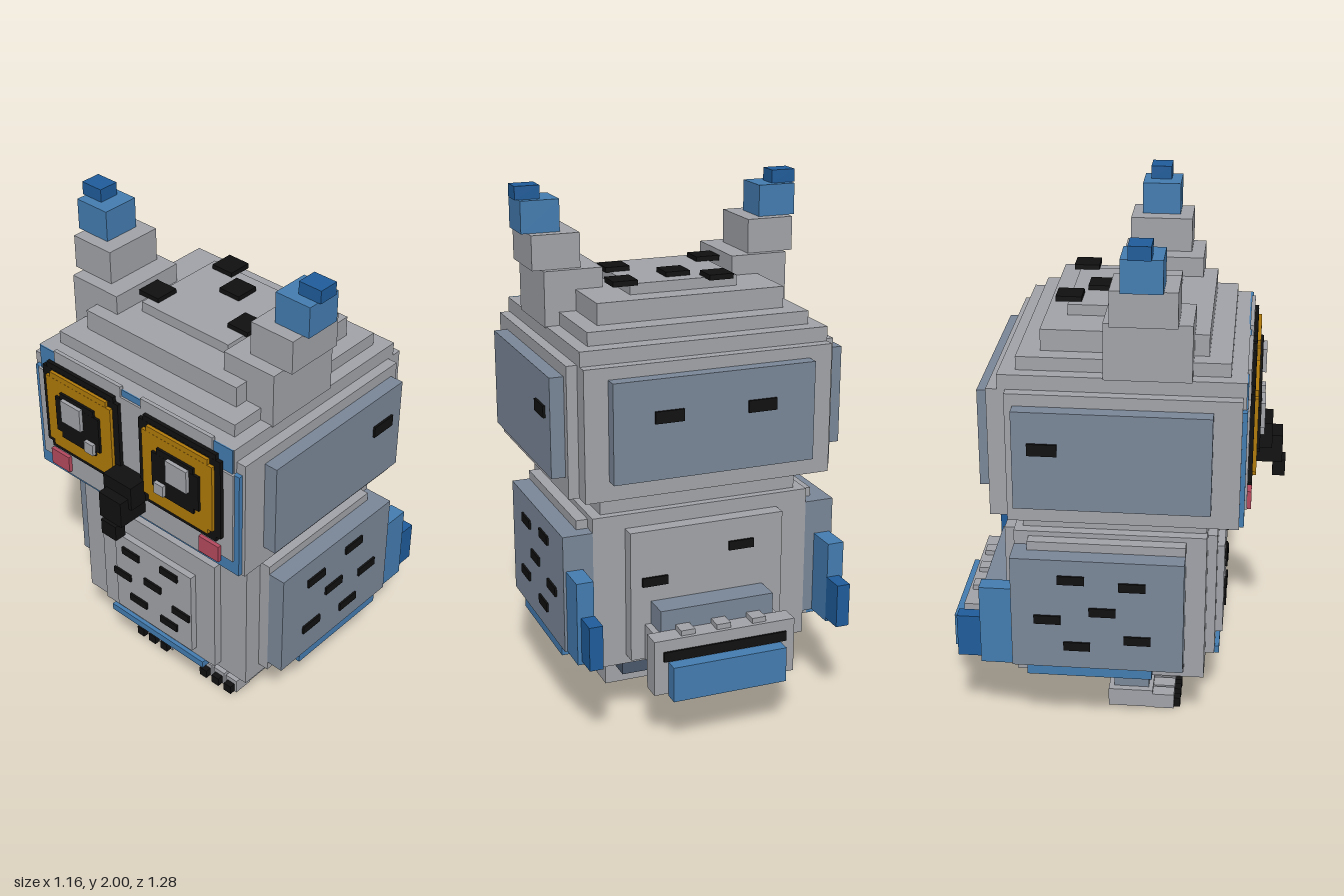
import * as THREE from 'three';

const colours = {
  grey: 0xa1a3a8, steel: 0x7a8798, blue: 0x437cb0, darkBlue: 0x1f5c9a, slate: 0x4a586b,
  black: 0x101010, amber: 0xb07a0a, pink: 0xb54a5e,
};

export function createModel() {
  const owl = new THREE.Group();
  owl.name = 'blockOwl';
  const mats = {};
  for (const [name, color] of Object.entries(colours)) {
    mats[name] = new THREE.MeshStandardMaterial({ color });
    mats[name].name = name;
  }

  // Box given by its limits on each axis
  function block(name, mat, [x0, x1], [y0, y1], [z0, z1]) {
    const mesh = new THREE.Mesh(new THREE.BoxGeometry(x1 - x0, y1 - y0, z1 - z0), mats[mat]);
    mesh.position.set((x0 + x1) / 2, (y0 + y1) / 2, (z0 + z1) / 2);
    mesh.name = name;
    owl.add(mesh);
  }
  // Box centred on x = 0
  const mid = (name, mat, half, y, z) => block(name, mat, [-half, half], y, z);
  // Matching boxes on both sides
  function pair(name, mat, [x0, x1], y, z) {
    block(name + 'Left', mat, [x0, x1], y, z);
    block(name + 'Right', mat, [-x1, -x0], y, z);
  }
  const span = (c, size) => [c - size / 2, c + size / 2];

  // Head core with notched corners
  mid('headCore', 'grey', 0.48, [0.945, 1.495], [-0.39, 0.487]);
  mid('headWide', 'grey', 0.52, [0.945, 1.44], [-0.36, 0.475]);
  mid('headBack', 'grey', 0.48, [0.945, 1.44], [-0.43, -0.39]);
  mid('headBackPanel', 'steel', 0.39, [1.02, 1.395], [-0.48, -0.43]);
  pair('headSidePanel', 'steel', [0.52, 0.573], [1.02, 1.395], [-0.33, 0.375]);
  pair('headSideSpot', 'black', [0.573, 0.582], span(1.255, 0.045), [-0.275, -0.168]);
  pair('headBackSpot', 'black', [0.125, 0.235], span(1.255, 0.045), [-0.489, -0.48]);

  // Stepped crown and its spots
  mid('crownLower', 'grey', 0.43, [1.495, 1.545], [-0.33, 0.43]);
  mid('crownMiddle', 'grey', 0.365, [1.545, 1.625], [-0.25, 0.35]);
  mid('crownTop', 'grey', 0.21, [1.625, 1.665], [-0.17, 0.22]);
  for (const [x, z] of [[-0.13, -0.17], [0.235, -0.145], [0, -0.065], [0.18, 0.09], [-0.207, 0.14]])
    block('crownSpot', 'black', span(x, 0.095), [1.663, 1.683], span(z, 0.095));

  // Ear tufts
  pair('earBase', 'grey', [0.26, 0.485], [1.49, 1.7], [-0.015, 0.297]);
  pair('earMiddle', 'grey', [0.337, 0.522], [1.7, 1.83], [0.01, 0.247]);
  pair('earUpper', 'blue', [0.4, 0.548], [1.83, 1.95], [0.05, 0.197]);
  pair('earTip', 'darkBlue', [0.465, 0.56], [1.95, 2], [0.077, 0.157]);

  // Face: blue backing under grey plates
  mid('faceBacking', 'blue', 0.507, [0.95, 1.395], [0.47, 0.492]);
  mid('faceBackingTop', 'blue', 0.475, [1.395, 1.495], [0.48, 0.492]);
  mid('facePlate', 'grey', 0.485, [1.01, 1.395], [0.487, 0.5]);
  mid('facePlateLower', 'grey', 0.37, [0.965, 1.01], [0.487, 0.5]);
  mid('facePlateUpper', 'grey', 0.39, [1.395, 1.467], [0.487, 0.5]);
  pair('brow', 'grey', [0.05, 0.39], [1.467, 1.51], [0.485, 0.5]);
  pair('cheek', 'pink', [0.335, 0.43], [0.985, 1.055], [0.5, 0.515]);

  // Eyes: each layer is a wide and a tall box, giving stepped corners
  function eyeLayer(name, mat, w, h, step, z) {
    const cx = 0.246, cy = 1.268;
    pair(name + 'Wide', mat, span(cx, w), span(cy, h - step), z);
    pair(name + 'Tall', mat, span(cx, w - step), span(cy, h), [z[0], z[1] - 0.0005]);
  }
  eyeLayer('eyeRim', 'black', 0.39, 0.385, 0.045, [0.5, 0.515]);
  eyeLayer('iris', 'amber', 0.335, 0.33, 0.045, [0.515, 0.528]);
  eyeLayer('pupil', 'black', 0.225, 0.2, 0.05, [0.528, 0.538]);
  pair('eyeGlint', 'grey', [0.215, 0.315], [1.257, 1.352], [0.538, 0.553]);
  pair('eyeGlintSmall', 'grey', [0.155, 0.2], [1.178, 1.225], [0.538, 0.553]);

  // Beak
  mid('beakTop', 'black', 0.07, [1.065, 1.165], [0.49, 0.585]);
  mid('beakMiddle', 'black', 0.055, [1, 1.11], [0.5, 0.625]);
  mid('beakTip', 'black', 0.037, [0.935, 1], [0.59, 0.638]);

  // Body
  mid('neck', 'grey', 0.39, [0.855, 0.945], [-0.325, 0.355]);
  mid('body', 'grey', 0.43, [0.255, 0.855], [-0.355, 0.36]);
  mid('chestPlate', 'grey', 0.3, [0.285, 0.8], [0.36, 0.395]);
  mid('chestInset', 'grey', 0.203, [0.325, 0.705], [0.395, 0.422]);
  mid('bellyTrim', 'blue', 0.25, [0.256, 0.286], [0.36, 0.412]);
  for (const [x, y] of [[-0.115, 0.64], [0.09, 0.66], [0, 0.545], [-0.165, 0.51], [0.15, 0.49], [-0.08, 0.415], [0.085, 0.4]])
    block('chestSpot', 'black', span(x, 0.09), span(y, 0.032), [0.422, 0.431]);
  mid('backPlate', 'grey', 0.305, [0.29, 0.8], [-0.41, -0.355]);
  for (const [x, y] of [[0.21, 0.6], [-0.135, 0.695]])
    block('backSpot', 'black', span(x, 0.1), span(y, 0.035), [-0.419, -0.41]);
  mid('underside', 'slate', 0.3, [0.18, 0.255], [-0.3, 0.265]);

  // Wings with trailing feathers
  pair('wingRoot', 'grey', [0.43, 0.475], [0.305, 0.835], [-0.3, 0.285]);
  pair('wing', 'steel', [0.475, 0.545], [0.345, 0.8], [-0.355, 0.285]);
  pair('wingInner', 'steel', [0.43, 0.475], [0.345, 0.8], [-0.355, -0.3]);
  pair('wingTrim', 'blue', [0.475, 0.54], [0.305, 0.345], [-0.3, 0.17]);
  pair('wingFeather', 'blue', [0.47, 0.535], [0.345, 0.665], [-0.475, -0.355]);
  pair('wingFeatherTip', 'darkBlue', [0.468, 0.52], [0.36, 0.53], [-0.565, -0.475]);
  for (const [z, y] of [[0.095, 0.7], [-0.13, 0.72], [-0.015, 0.59], [-0.22, 0.55], [0.115, 0.475], [-0.11, 0.44]])
    pair('wingSpot', 'black', [0.545, 0.553], span(y, 0.035), span(z, 0.1));

  // Tail
  mid('tailRoot', 'steel', 0.225, [0.34, 0.52], [-0.51, -0.41]);
  mid('tailUnder', 'grey', 0.25, [0.29, 0.43], [-0.51, -0.41]);
  mid('tailPlate', 'grey', 0.28, [0.225, 0.44], [-0.585, -0.51]);
  mid('tailBand', 'black', 0.245, [0.357, 0.395], [-0.593, -0.585]);
  mid('tailTip', 'blue', 0.225, [0.215, 0.352], [-0.638, -0.585]);
  for (const x of [-0.142, 0, 0.142])
    block('tailBump', 'grey', span(x, 0.055), [0.44, 0.46], [-0.57, -0.512]);

  // Legs, feet, toes and claws
  pair('leg', 'steel', [0.112, 0.245], [0.075, 0.18], [0, 0.138]);
  pair('foot', 'grey', [0.09, 0.272], [0, 0.075], [-0.02, 0.155]);
  for (const x of [0.113, 0.18, 0.247]) {
    pair('toe', 'grey', span(x, 0.057), [0, 0.062], [0.155, 0.24]);
    pair('claw', 'black', span(x, 0.037), [0.003, 0.042], [0.24, 0.265]);
  }
  return owl;
}
